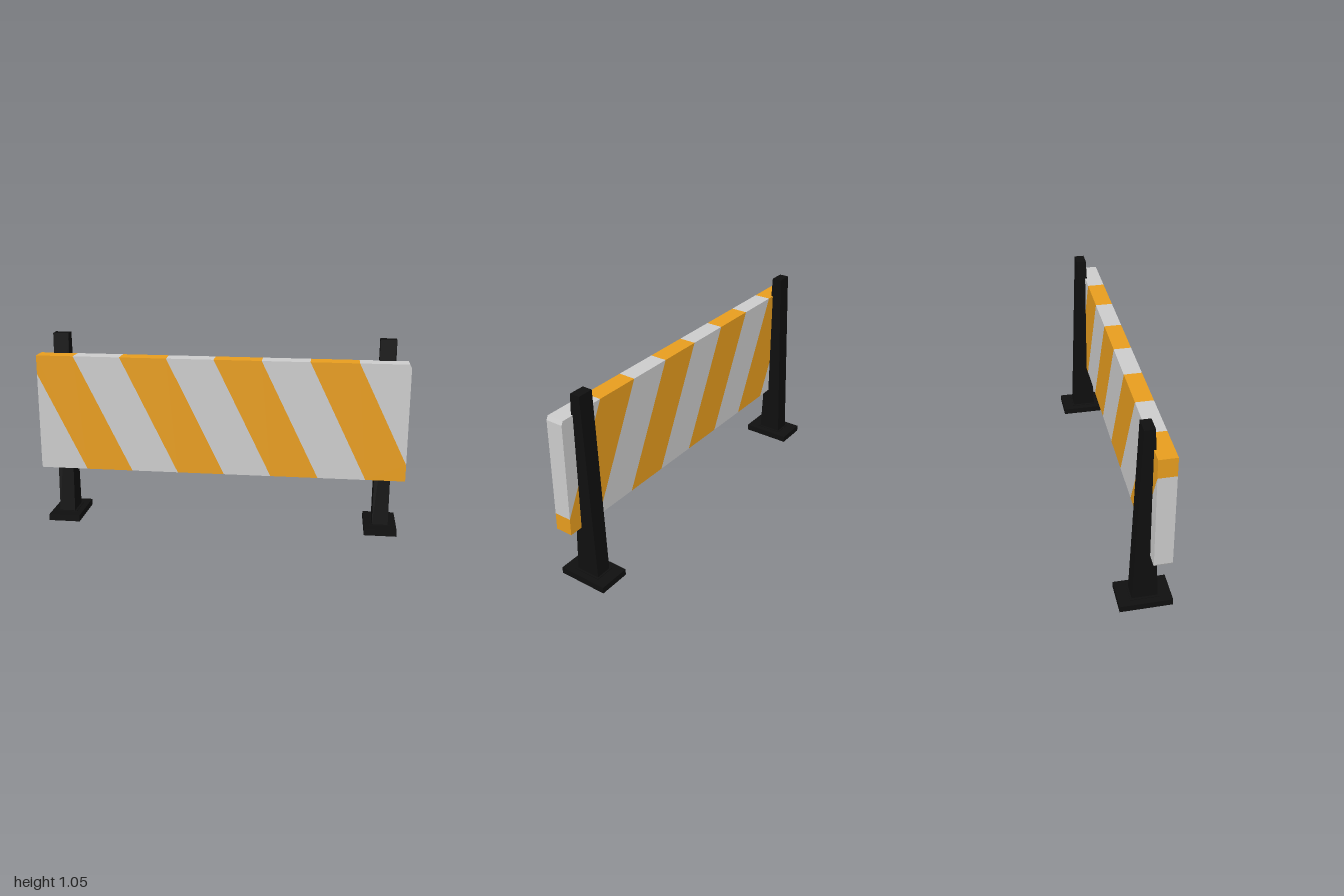
import * as THREE from 'three';

const BOTTOM = 0.31, TOP = 0.945, LEAN = 0.31, STRIPE = 0.255;

const material = (color) => new THREE.MeshStandardMaterial({ color, flatShading: true });

// Cut a polygon at x = limit, keeping the side towards the centre
function clipX(points, limit) {
  const sign = Math.sign(limit), inside = (p) => p.x * sign <= Math.abs(limit);
  const out = [];
  points.forEach((a, i) => {
    const b = points[(i + 1) % points.length];
    if (inside(a)) out.push(a);
    if (inside(a) !== inside(b)) out.push(a.clone().lerp(b, (limit - a.x) / (b.x - a.x)));
  });
  return out;
}

// Board made of leaning blocks in alternating colours
function createBoard(orange, grey) {
  const board = new THREE.Group();
  board.name = 'board';
  for (let i = -1; i <= 7; i++) {
    const x = -0.74 + i * STRIPE;
    let outline = [
      new THREE.Vector2(x, BOTTOM), new THREE.Vector2(x + STRIPE, BOTTOM),
      new THREE.Vector2(x + STRIPE - LEAN, TOP), new THREE.Vector2(x - LEAN, TOP),
    ];
    outline = clipX(clipX(outline, -1), 1);
    const geometry = new THREE.ExtrudeGeometry(new THREE.Shape(outline), { depth: 0.093, bevelEnabled: false });
    geometry.translate(0, 0, 0.021);
    const isOrange = i % 2 === 0;
    const stripe = new THREE.Mesh(geometry, isOrange ? orange : grey);
    stripe.name = isOrange ? 'orangeStripe' : 'greyStripe';
    board.add(stripe);
  }
  return board;
}

// Upright that tapers in depth, standing on a flat foot
function createPost(side, black) {
  const post = new THREE.Group();
  post.name = side > 0 ? 'leftPost' : 'rightPost';
  const add = (name, geometry) => {
    const mesh = new THREE.Mesh(geometry, black);
    mesh.name = name;
    post.add(mesh);
  };
  const profile = new THREE.Shape([
    new THREE.Vector2(-0.066, 0.03), new THREE.Vector2(0.066, 0.03),
    new THREE.Vector2(0.027, 1.055), new THREE.Vector2(-0.027, 1.055),
  ]);
  const upright = new THREE.ExtrudeGeometry(profile, { depth: 0.086, bevelEnabled: false });
  upright.translate(0, 0, -0.043).rotateY(Math.PI / 2);
  add('upright', upright);
  add('foot', new THREE.BoxGeometry(0.175, 0.035, 0.272).translate(0, 0.0175, 0));
  add('collar', new THREE.BoxGeometry(0.11, 0.01, 0.15).translate(0, 0.033, 0));
  post.position.x = side * 0.882;
  return post;
}

export function createModel() {
  const group = new THREE.Group();
  group.name = 'roadBarrier';
  const black = material(0x0f0f0f);
  group.add(createBoard(material(0xe79d1e), material(0xcccccc)));
  for (const side of [-1, 1]) group.add(createPost(side, black));
  return group;
}
